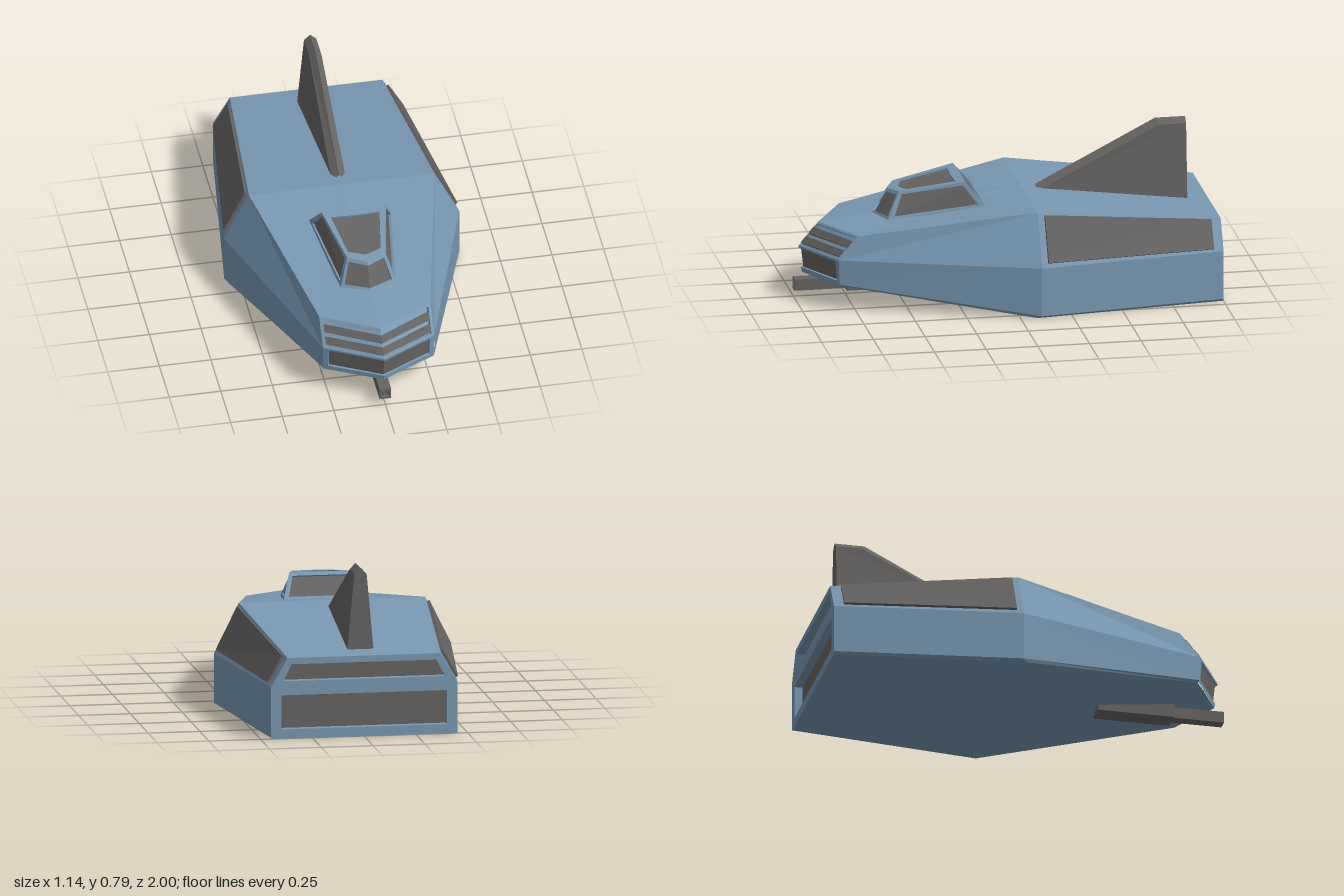
import * as THREE from 'three';

const blue = new THREE.MeshStandardMaterial({ color: 0x7898b2, flatShading: true });
const dark = new THREE.MeshStandardMaterial({ color: 0x666463, flatShading: true });
const V = (x, y, z) => new THREE.Vector3(x, y, z);

// Mesh from quads of the +x half, mirrored to -x
function mirroredMesh(name, material, quads) {
  const pos = [];
  for (const [a, b, c, d] of quads) {
    for (const p of [a, b, c, a, c, d]) pos.push(p.x, p.y, p.z);
    for (const p of [a, c, b, a, d, c]) pos.push(-p.x, p.y, p.z);
  }
  const geo = new THREE.BufferGeometry();
  geo.setAttribute('position', new THREE.Float32BufferAttribute(pos, 3));
  geo.computeVertexNormals();
  const mesh = new THREE.Mesh(geo, material);
  mesh.name = name;
  return mesh;
}

// Point inside a quad, u along its bottom edge and v up
const at = (f, u, v) => f[0].clone().lerp(f[1], u).lerp(f[3].clone().lerp(f[2], u), v);

// Sink (or raise, with negative depth) a window in a quad: rim, walls and floor
function inset(face, [u0, u1, v0, v1], depth) {
  const normal = face[1].clone().sub(face[0]).cross(face[3].clone().sub(face[0])).normalize();
  const p = [at(face, u0, v0), at(face, u1, v0), at(face, u1, v1), at(face, u0, v1)];
  const floor = p.map((a) => {
    const q = a.clone().addScaledVector(normal, -depth);
    if (Math.abs(a.x) < 1e-6) q.x = 0; // halves stay joined on the centre line
    return q;
  });
  const rim = [], walls = [];
  for (let i = 0; i < 4; i++) {
    const j = (i + 1) % 4;
    if (Math.abs(p[i].x) + Math.abs(p[j].x) < 1e-6) continue;
    rim.push([face[i], face[j], p[j], p[i]]);
    walls.push([p[i], p[j], floor[j], floor[i]]);
  }
  return { rim, walls, floor };
}

function box(name, w, h, d, x, y, z) {
  const mesh = new THREE.Mesh(new THREE.BoxGeometry(w, h, d), dark);
  mesh.position.set(x, y, z);
  mesh.name = name;
  return mesh;
}

function createHull() {
  const g = new THREE.Group();
  g.name = 'hull';
  // Half sections from bottom centre round to top centre
  const rear = [V(0, 0, -1), V(0.44, 0, -1), V(0.45, 0.012, -1), V(0.45, 0.25, -1), V(0.37, 0.39, -1), V(0, 0.39, -1)];
  const middle = [V(0, 0, -0.08), V(0.555, 0, -0.08), V(0.57, 0.012, -0.1), V(0.57, 0.25, -0.1), V(0.45, 0.492, -0.1), V(0, 0.492, -0.1)];
  const front = [V(0, 0.12, 0.96), V(0.26, 0.12, 0.82), V(0.27, 0.13, 0.825), V(0.27, 0.25, 0.83), V(0.27, 0.365, 0.73), V(0, 0.365, 0.88)];
  const skin = [];
  for (const [a, b] of [[rear, middle], [middle, front]])
    for (let i = 0; i < 5; i++) skin.push([b[i], a[i], a[i + 1], b[i + 1]]);

  // Nose: dark lower panel, blue upper recess with two bars
  const noseMid = V(0, 0.25, 0.975);
  const lower = inset([front[0], V(0.27, 0.12, 0.82), front[3], noseMid], [0, 0.91, 0.18, 0.92], 0.012);
  const upper = inset([noseMid, front[3], front[4], front[5]], [0, 0.95, 0.08, 0.92], 0.015);
  const bars = [];
  for (const v of [[0.06, 0.36], [0.52, 0.82]]) {
    const bar = inset(upper.floor, [0, 0.99, ...v], -0.018);
    bars.push(...bar.walls, bar.floor);
  }

  // Tail: two recesses
  const tailMid = V(0, 0.25, -1);
  const tailLow = inset([V(0.45, 0, -1), rear[0], tailMid, rear[3]], [0.11, 1, 0.18, 0.84], 0.04);
  const tailHigh = inset([rear[3], tailMid, rear[5], rear[4]], [0.1, 1, 0.2, 0.78], 0.04);

  for (const part of [lower, upper, tailLow, tailHigh]) skin.push(...part.rim, ...part.walls);
  skin.push(upper.floor);
  g.add(mirroredMesh('hullShell', blue, skin));
  g.add(mirroredMesh('nosePanel', dark, [lower.floor]));
  g.add(mirroredMesh('noseBars', dark, bars));
  g.add(mirroredMesh('tailPanels', dark, [tailLow.floor, tailHigh.floor]));

  // Raised plates on the sloping flanks
  const plate = inset([middle[3], rear[3], rear[4], middle[4]], [0.035, 0.945, 0.08, 0.95], -0.013);
  g.add(mirroredMesh('sidePlates', dark, [...plate.walls, plate.floor]));
  return g;
}

function createCanopy() {
  const g = new THREE.Group();
  g.name = 'canopy';
  const base = [V(0, 0.455, 0.1), V(0.2, 0.455, 0.1), V(0.135, 0.39, 0.57), V(0, 0.39, 0.625)];
  const top = [V(0, 0.572, 0.2), V(0.155, 0.572, 0.2), V(0.09, 0.522, 0.505), V(0, 0.515, 0.55)];
  const spans = [[0.12, 1], [0.06, 0.94], [0, 0.9]];
  const frame = [], glass = [];
  const window = (face, range) => {
    const w = inset(face, range, 0.01);
    frame.push(...w.rim, ...w.walls);
    glass.push(w.floor);
  };
  spans.forEach((u, i) => window([base[i + 1], base[i], top[i], top[i + 1]], [...u, 0.14, 0.88]));
  window([top[3], top[2], top[1], top[0]], [0, 0.8, 0.14, 0.88]);
  g.add(mirroredMesh('canopyFrame', blue, frame), mirroredMesh('canopyWindows', dark, glass));
  return g;
}

function createFin() {
  // Shoulder outline of the side, and the ridge over it
  const foot = V(0.035, 0.465, -0.17), heel = V(0.065, 0.38, -0.895);
  const high = V(0.03, 0.765, -0.765), back = V(0.03, 0.765, -0.895);
  const ridge = [V(0, 0.495, -0.17), V(0, 0.792, -0.75), V(0, 0.792, -0.895)];
  return mirroredMesh('tailFin', dark, [
    [foot, heel, back, high],
    [ridge[0], foot, high, ridge[1]],
    [ridge[1], high, back, ridge[2]],
    [heel, V(0, 0.38, -0.895), ridge[2], back],
  ]);
}

function createGun() {
  const g = new THREE.Group();
  g.name = 'gun';
  g.add(box('gunMount', 0.104, 0.09, 0.37, 0, 0.073, 0.565));
  // Square hollow barrel with a plug set back from the muzzle
  const square = (S, r) => new S([[-r, -r], [r, -r], [r, r], [-r, r]].map(([x, y]) => new THREE.Vector2(x, y)));
  const shape = square(THREE.Shape, 0.028);
  shape.holes.push(square(THREE.Path, 0.019));
  const barrel = new THREE.Mesh(new THREE.ExtrudeGeometry(shape, { depth: 0.27, bevelEnabled: false }), dark);
  barrel.position.set(0, 0.063, 0.73);
  barrel.name = 'gunBarrel';
  g.add(barrel, box('barrelCore', 0.038, 0.038, 0.25, 0, 0.063, 0.855));
  return g;
}

export function createModel() {
  const model = new THREE.Group();
  model.name = 'armouredCraft';
  model.add(createHull(), createCanopy(), createFin(), createGun());
  return model;
}
